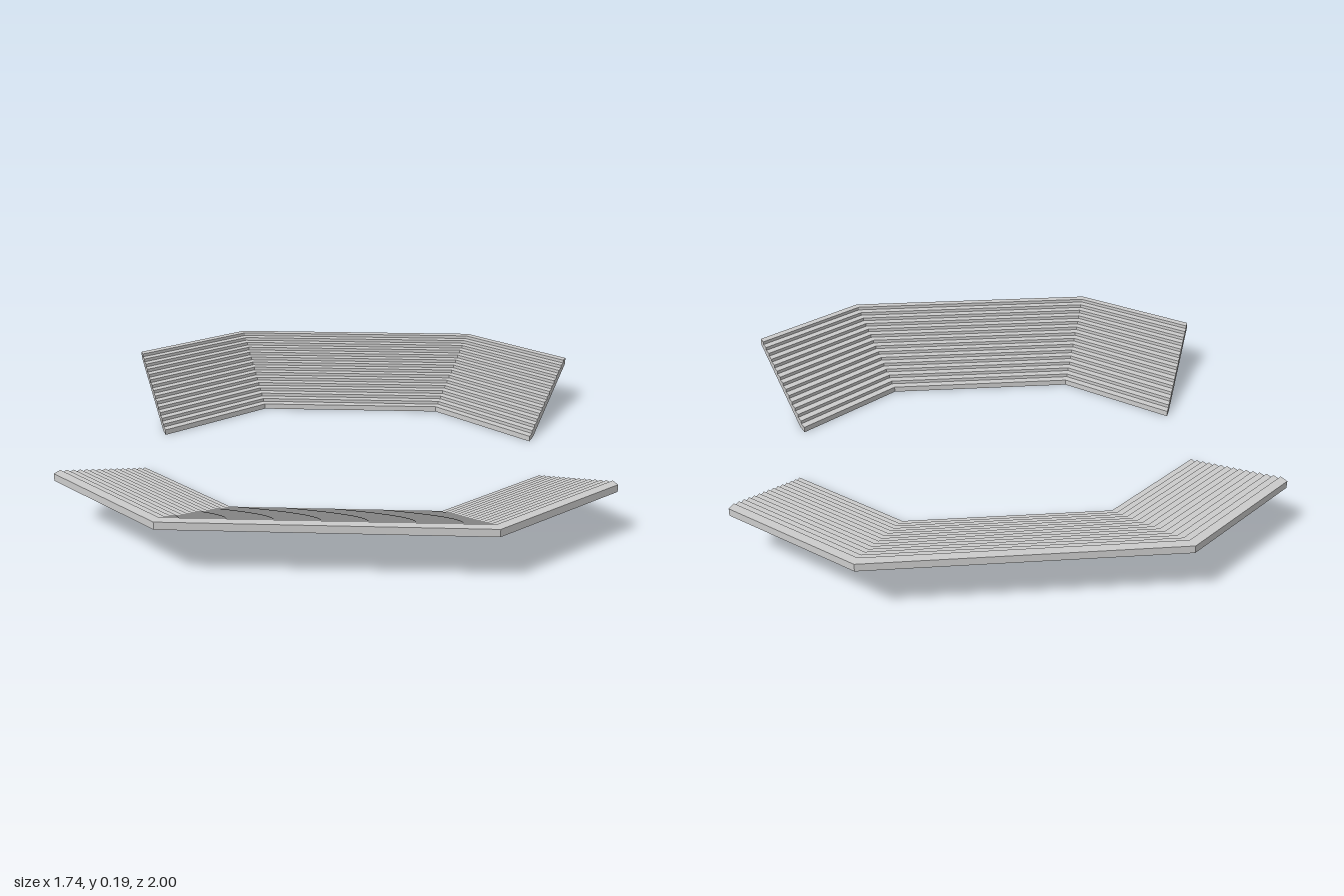
import * as THREE from 'three';

const ROWS = 15;
const TOP = 0.187, FIRST = 0.02, UNDER = 0.163;

// Plan outlines of the front stand: lowest row edge and outer rim
const inner = [[-0.69, 0.19], [-0.345, 0.51], [0.345, 0.51], [0.69, 0.19]];
const outer = [[-0.87, 0.66], [-0.49, 1], [0.49, 1], [0.87, 0.66]];

// Cross-section (t = 0 inner edge to 1 outer rim, y): sloped underside, stepped top
function standProfile() {
  const pts = [[0, 0], [0.1, 0], [1, UNDER]];
  for (let i = ROWS - 1; i >= 0; i--) {
    const y = FIRST + (TOP - FIRST) * i / (ROWS - 1);
    pts.push([(i + 1) / ROWS, y], [i / ROWS, y]);
  }
  return pts.map(([t, y]) => new THREE.Vector2(t, y));
}

// Sweep the cross-section through the four plan corners
function standGeometry() {
  const profile = standProfile();
  const pos = [];
  const put = (j, i) => {
    const { x: t, y } = profile[i % profile.length];
    pos.push(
      THREE.MathUtils.lerp(inner[j][0], outer[j][0], t), y,
      THREE.MathUtils.lerp(inner[j][1], outer[j][1], t));
  };
  for (let j = 0; j < inner.length - 1; j++) {
    for (let i = 0; i < profile.length; i++) {
      put(j, i); put(j + 1, i); put(j + 1, i + 1);
      put(j, i); put(j + 1, i + 1); put(j, i + 1);
    }
  }
  // End walls
  const last = inner.length - 1;
  for (const [a, b, c] of THREE.ShapeUtils.triangulateShape(profile, [])) {
    put(0, a); put(0, b); put(0, c);
    put(last, a); put(last, c); put(last, b);
  }
  const geo = new THREE.BufferGeometry();
  geo.setAttribute('position', new THREE.Float32BufferAttribute(pos, 3));
  geo.computeVertexNormals();
  return geo;
}

export function createModel() {
  const group = new THREE.Group();
  group.name = 'grandstands';
  const material = new THREE.MeshStandardMaterial({ color: 0xcccccc, flatShading: true });
  const geo = standGeometry();

  // Two identical stands facing each other
  ['frontStand', 'backStand'].forEach((name, k) => {
    const stand = new THREE.Mesh(geo, material);
    stand.name = name;
    stand.rotation.y = k * Math.PI;
    group.add(stand);
  });
  return group;
}
